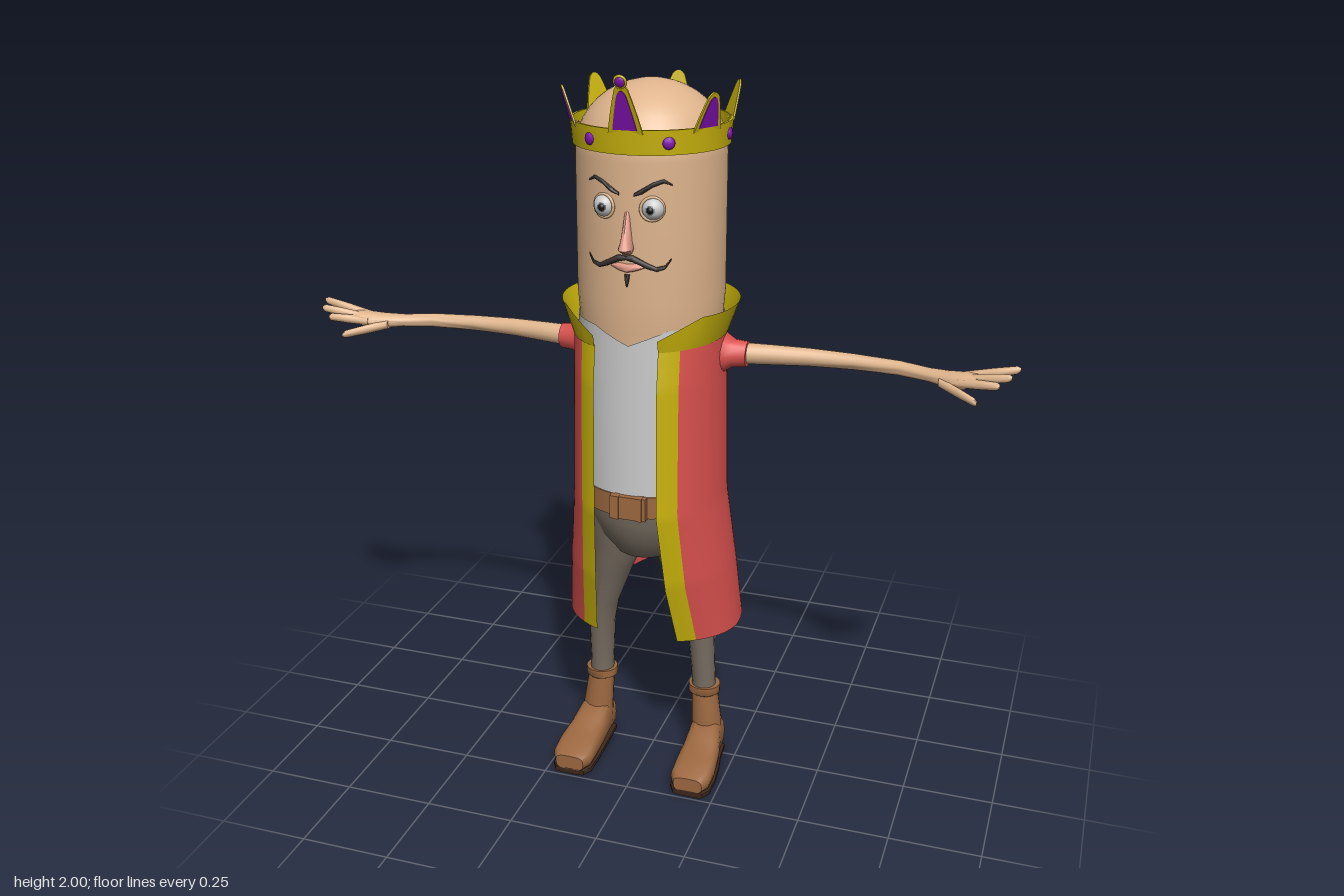
import * as THREE from 'three';
import { toCreasedNormals } from 'three/addons/utils/BufferGeometryUtils.js';
import { ParametricGeometry } from 'three/addons/geometries/ParametricGeometry.js';

const mat = (color, side = THREE.FrontSide) => new THREE.MeshStandardMaterial({ color, side });
const SKIN = mat(0xdeb48c), RED = mat(0xdc524f, THREE.DoubleSide), GOLD = mat(0xc9b30c, THREE.DoubleSide);
const SHIRT = mat(0xcccccc, THREE.DoubleSide), TROUSERS = mat(0x7a6f63), LEATHER = mat(0x9c6840);
const SOLE = mat(0x3d271b), PURPLE = mat(0x8412b4), HAIR = mat(0x383230), PINK = mat(0xe09a88);
const WHITE = mat(0xe6e6e6), IRIS = mat(0x66707f), BLACK = mat(0x151515);
const CZ = 0.018; // body axis
const { lerp, clamp } = THREE.MathUtils;

function add(parent, name, geometry, material, x = 0, y = 0, z = 0) {
  const m = new THREE.Mesh(geometry, material);
  m.name = name;
  m.position.set(x, y, z);
  parent.add(m);
  return m;
}

// Closed skin over rings [x, y, z, ra, rb] that ascend along one axis; pow < 1 squares the rings.
function loft(axis, rings, n = 16, pow = 1) {
  const w = { x: 0, y: 1, z: 2 }[axis], u = (w + 1) % 3, v = (w + 2) % 3;
  const cap = (r) => [r[0], r[1], r[2], 0, 0];
  const all = [cap(rings[0]), ...rings, cap(rings[rings.length - 1])];
  const bend = (t) => Math.sign(t) * Math.abs(t) ** pow;
  const pos = [], idx = [];
  all.forEach((r, i) => {
    for (let j = 0; j < n; j++) {
      const a = (j / n) * Math.PI * 2, p = r.slice(0, 3);
      p[u] += r[3] * bend(Math.cos(a));
      p[v] += (r[4] ?? r[3]) * bend(Math.sin(a));
      pos.push(...p);
      if (i === all.length - 1) continue;
      const a0 = i * n + j, b0 = i * n + ((j + 1) % n);
      idx.push(a0, b0, a0 + n, b0, b0 + n, a0 + n);
    }
  });
  const g = new THREE.BufferGeometry();
  g.setAttribute('position', new THREE.Float32BufferAttribute(pos, 3));
  g.setIndex(idx);
  return toCreasedNormals(g, 0.9);
}

// Cloak sections: height, half width, front depth, back depth, centre z, front edge x
const CLOAK = [
  [0.44, 0.25, 0.19, 0.26, -0.015, 0.118], [0.62, 0.235, 0.225, 0.235, 0.002, 0.1],
  [0.85, 0.21, 0.247, 0.208, 0.02, 0.086], [1.2, 0.203, 0.242, 0.21, 0.02, 0.085],
  [1.31, 0.203, 0.225, 0.21, 0.02, 0.085],
];
function section(y) {
  let i = 0;
  while (i < CLOAK.length - 2 && y > CLOAK[i + 1][0]) i++;
  const t = (y - CLOAK[i][0]) / (CLOAK[i + 1][0] - CLOAK[i][0]);
  return CLOAK[i].map((a, k) => lerp(a, CLOAK[i + 1][k], t));
}
function cloakPatch(isTrim, nu) {
  return new ParametricGeometry((u, v, p) => {
    const y = lerp(0.44, 1.31, v), [, w, df, db, c, e] = section(y);
    const slit = Math.max(0, (0.8 - y) * 0.27);
    const seam = Math.asin((e + 0.048) / w);
    const a = isTrim ? lerp(Math.asin(e / w), seam, u) : lerp(seam, Math.PI - Math.asin(slit / w), u);
    const k = Math.cos(a);
    p.set(w * Math.sin(a), y + 0.07 * Math.max(0, -k) ** 8 * (1 - v), c + (k > 0 ? df : db) * k);
  }, nu, 29);
}
// Flared collar that dips towards the throat
const collarPatch = () => new ParametricGeometry((u, v, p) => {
  const a = lerp(Math.asin(0.085 / 0.203), Math.PI, u), k = Math.cos(a), s = Math.sin(a);
  const x = lerp(0.205, 0.236, v * Math.min(1, u * 5)) * s;
  const dip = k > 0 ? 1 - clamp((x - 0.085) / 0.1, 0, 1) : 0;
  p.set(x, lerp(1.305, 1.392 - 0.055 * dip, v), 0.02 + k * (k > 0 ? lerp(0.228, 0.238, v) : lerp(0.213, 0.235, v)));
}, 28, 3);

// Everything that exists once per side, built for +x
function buildSide(name) {
  const g = new THREE.Group();
  g.name = name;
  add(g, 'cloak', cloakPatch(false, 30), RED);
  add(g, 'cloakTrim', cloakPatch(true, 3), GOLD);
  add(g, 'collar', collarPatch(), GOLD);
  add(g, 'sleeve', loft('x', [[0.17, 1.25, 0.005, 0.075], [0.205, 1.25, 0.005, 0.05], [0.225, 1.25, 0.005, 0.038],
    [0.262, 1.25, 0.003, 0.034]]), RED);

  // Arm and hand
  add(g, 'arm', loft('x', [[0.2, 1.25, 0.005, 0.03], [0.32, 1.25, -0.012, 0.027], [0.42, 1.249, -0.027, 0.024],
    [0.54, 1.248, -0.03, 0.021], [0.66, 1.249, -0.014, 0.019, 0.021], [0.74, 1.249, 0.014, 0.017, 0.025],
    [0.79, 1.25, 0.036, 0.021, 0.032], [0.835, 1.256, 0.053, 0.022, 0.034], [0.865, 1.264, 0.06, 0.014, 0.027]]), SKIN);
  const fingers = [[0.83, 1.262, 0.036, 0.968, 1.297, 0.045], [0.83, 1.26, 0.058, 0.952, 1.288, 0.09],
    [0.82, 1.255, 0.07, 0.925, 1.268, 0.105], [0.77, 1.245, 0.05, 0.875, 1.226, 0.127]];
  for (const f of fingers) {
    const at = (t, r) => [lerp(f[0], f[3], t), lerp(f[1], f[4], t), lerp(f[2], f[5], t), r];
    add(g, 'finger', loft('x', [at(0, 0.013), at(0.5, 0.013), at(0.93, 0.011), at(1, 0.005)], 8), SKIN);
  }

  // Leg and boot
  add(g, 'leg', loft('y', [[0.158, 0.2, 0.01, 0.035, 0.034], [0.155, 0.28, 0.012, 0.038, 0.034],
    [0.15, 0.4, 0.022, 0.047, 0.037], [0.142, 0.47, 0.025, 0.055, 0.042], [0.112, 0.6, 0.028, 0.08, 0.062],
    [0.09, 0.7, 0.022, 0.115, 0.084], [0.09, 0.8, 0.02, 0.14, 0.09]]), TROUSERS);
  add(g, 'bootShaft', loft('y', [[0.17, 0.04, 0.02, 0.042, 0.044], [0.168, 0.12, 0.016, 0.04, 0.044],
    [0.16, 0.21, 0.01, 0.038, 0.038], [0.158, 0.215, 0.01, 0.044, 0.046], [0.158, 0.238, 0.01, 0.044, 0.046]]), LEATHER);
  const foot = [[0.17, 0.062, -0.024, 0.042, 0.05], [0.171, 0.07, 0.04, 0.047, 0.058], [0.175, 0.055, 0.09, 0.053, 0.043],
    [0.178, 0.047, 0.16, 0.058, 0.035], [0.178, 0.04, 0.215, 0.057, 0.028], [0.178, 0.036, 0.24, 0.042, 0.022]];
  add(g, 'bootFoot', loft('z', foot, 16, 0.6), LEATHER);
  add(g, 'bootSole', loft('z', foot.map(([x, , z, r]) => [x, 0.009, z, r + 0.002, 0.009]), 16, 0.4), SOLE);

  // Eye, brow and half of the moustache
  const faceZ = (x) => CZ + Math.sqrt(0.196 ** 2 - x * x);
  const ball = (part, r, z, m) => add(g, part, new THREE.SphereGeometry(r, 20, 14), m, 0.063, 1.668, z);
  ball('eyeball', 0.029, 0.196, WHITE);
  ball('iris', 0.019, 0.209, IRIS).scale.z = 0.9;
  ball('pupil', 0.01, 0.2195, BLACK);
  const lid = add(g, 'eyelid', new THREE.TorusGeometry(0.029, 0.004, 8, 24), SKIN, 0.063, 1.668, 0.204);
  lid.rotation.y = 0.32;
  const strand = (name, pts, lift) => add(g, name, loft('x', pts.map(([x, y, r]) => [x, y, faceZ(x) + lift, r]), 8), HAIR);
  strand('eyebrow', [[0.02, 1.703, 0.004], [0.04, 1.712, 0.007], [0.065, 1.728, 0.006], [0.09, 1.737, 0.005], [0.108, 1.727, 0.002]], 0.003);
  strand('moustache', [[0, 1.545, 0.006], [0.02, 1.543, 0.009], [0.05, 1.528, 0.008], [0.075, 1.517, 0.006],
    [0.095, 1.522, 0.005], [0.108, 1.541, 0.003]], 0.01);
  return g;
}

function buildCrown() {
  const g = new THREE.Group();
  g.name = 'crown';
  g.position.set(0, 1.8, CZ);
  const pts = [[0.198, 0], [0.203, 0], [0.208, 0.062], [0.201, 0.062], [0.198, 0]].map((p) => new THREE.Vector2(...p));
  add(g, 'crownBand', toCreasedNormals(new THREE.LatheGeometry(pts, 36), 0.6), GOLD);
  const tongue = (w, h, depth) => {
    const s = new THREE.Shape();
    s.moveTo(-w, 0).lineTo(w, 0).quadraticCurveTo(w * 0.75, h * 0.45, w * 0.38, h * 0.88);
    s.quadraticCurveTo(0, h * 1.12, -w * 0.38, h * 0.88).quadraticCurveTo(-w * 0.75, h * 0.45, -w, 0);
    return new THREE.ExtrudeGeometry(s, { depth, bevelEnabled: false, curveSegments: 5 });
  };
  for (let i = 0; i < 6; i++) {
    const spoke = new THREE.Group();
    spoke.name = 'crownPoint';
    spoke.rotation.y = (i * Math.PI) / 3;
    const tip = new THREE.Group(), h = i ? 0.1 : 0.13;
    tip.position.set(0, 0.052, 0.199);
    tip.rotation.x = 0.28;
    add(tip, 'point', tongue(0.045, h, 0.005), GOLD);
    add(tip, 'pointInlay', tongue(0.031, h * 0.78, 0.003), PURPLE, 0, 0.011, 0.004);
    if (i === 0) {
      add(tip, 'tipGem', new THREE.SphereGeometry(0.014, 14, 10), PURPLE, 0, h + 0.004, 0.004).scale.z = 0.5;
      add(tip, 'tipSetting', new THREE.TorusGeometry(0.014, 0.004, 8, 18), GOLD, 0, h + 0.004, 0.003);
    }
    spoke.add(tip);
    g.add(spoke);
    // Round gems sit halfway between the points
    const a = ((i + 0.5) * Math.PI) / 3;
    const gem = add(g, 'bandGem', new THREE.SphereGeometry(0.016, 8, 6), PURPLE, 0.205 * Math.sin(a), 0.03, 0.205 * Math.cos(a));
    gem.scale.z = 0.5;
    gem.rotation.y = a;
  }
  return g;
}

export function createModel() {
  const model = new THREE.Group();
  model.name = 'king';

  // Long head with a domed top
  const profile = [[0.186, 1.28], [0.19, 1.34], [0.196, 1.42], [0.196, 1.6]];
  for (let i = 0; i <= 10; i++) {
    const a = (i / 10) * Math.PI / 2;
    profile.push([0.196 * Math.cos(a), 1.78 + 0.178 * Math.sin(a)]);
  }
  add(model, 'head', new THREE.LatheGeometry(profile.map((p) => new THREE.Vector2(...p)), 40), SKIN, 0, 0, CZ);
  add(model, 'nose', loft('y', [[0, 1.553, 0.214, 0.012, 0.012], [0, 1.567, 0.222, 0.031, 0.019], [0, 1.585, 0.218, 0.026, 0.014],
    [0, 1.62, 0.212, 0.017, 0.01], [0, 1.66, 0.206, 0.009, 0.007]]), PINK);
  add(model, 'lips', loft('x', [[-0.045, 1.52, 0.206, 0.003], [-0.02, 1.519, 0.214, 0.01], [0, 1.516, 0.216, 0.011],
    [0.02, 1.519, 0.214, 0.01], [0.045, 1.52, 0.206, 0.003]], 10), PINK);
  add(model, 'goatee', loft('y', [[0, 1.468, 0.218, 0.002], [0, 1.485, 0.217, 0.006], [0, 1.5, 0.213, 0.007]], 8), HAIR);

  // Shirt with a shallow V neck, belt and trousers
  add(model, 'shirt', new ParametricGeometry((u, v, p) => {
    const a = u * Math.PI * 2, x = 0.194 * Math.sin(a);
    p.set(x, lerp(0.85, 1.31 + 0.42 * Math.min(Math.abs(x), 0.1), v), CZ + 0.194 * Math.cos(a));
  }, 48, 4), SHIRT);
  add(model, 'belt', new THREE.CylinderGeometry(0.198, 0.198, 0.062, 40), LEATHER, 0, 0.861, CZ);
  add(model, 'buckle', new THREE.BoxGeometry(0.1, 0.064, 0.02), LEATHER, 0, 0.861, 0.218);
  for (const x of [-0.032, 0.032]) add(model, 'buckleBar', new THREE.BoxGeometry(0.016, 0.066, 0.026), LEATHER, x, 0.861, 0.218);
  add(model, 'hips', loft('y', [[0, 0.652, 0.02, 0.06, 0.05], [0, 0.68, 0.02, 0.125, 0.1], [0, 0.74, 0.02, 0.165, 0.15],
    [0, 0.8, CZ, 0.187, 0.18], [0, 0.86, CZ, 0.193, 0.193]], 28), TROUSERS);

  const left = buildSide('leftSide'), right = buildSide('rightSide');
  right.scale.x = -1;
  model.add(left, right, buildCrown());
  return model;
}
